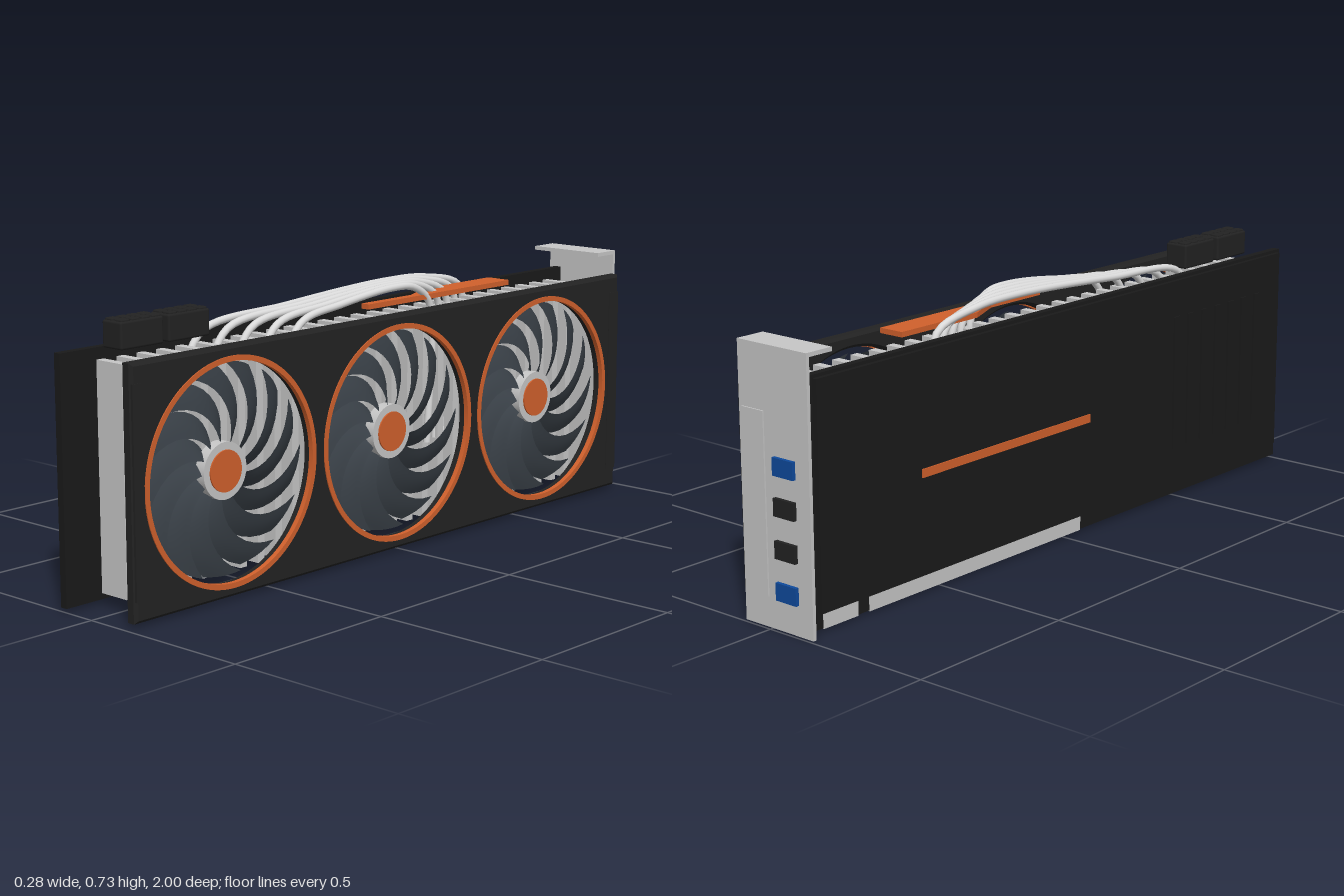
import * as THREE from 'three';
import { RoundedBoxGeometry } from 'three/addons/geometries/RoundedBoxGeometry.js';
import { mergeGeometries, toCreasedNormals } from 'three/addons/utils/BufferGeometryUtils.js';

const mat = (name, color, side = THREE.FrontSide) => {
  const m = new THREE.MeshStandardMaterial({ color, side });
  m.name = name;
  return m;
};

export function createModel() {
  const root = new THREE.Group();
  root.name = 'graphicsCard';
  const black = mat('shroud black', 0x222222);
  const board = mat('board black', 0x1a1a1a);
  const orange = mat('accent orange', 0xd0602c);
  const silver = mat('fin silver', 0xc6c6c6);
  const pipeGrey = mat('pipe silver', 0xdadada);
  const blade = mat('blade slate', 0x394047, THREE.DoubleSide);
  const blue = mat('port blue', 0x0f4a9c);

  const add = (name, geo, material, parent = root) => {
    const m = new THREE.Mesh(geo, material);
    m.name = name;
    parent.add(m);
    return m;
  };
  // box given by its limits on each axis
  const boxGeo = (x0, x1, y0, y1, z0, z1) =>
    new THREE.BoxGeometry(x1 - x0, y1 - y0, z1 - z0)
      .translate((x0 + x1) / 2, (y0 + y1) / 2, (z0 + z1) / 2);
  const box = (name, material, ...b) => add(name, boxGeo(...b), material);

  const FAN_Y = 0.329;
  const FAN_Z = [0.643, 0.021, -0.6];

  // Shroud: chamfered panel with three round openings, facing +x
  const c = 0.008;
  const panel = new THREE.Shape([
    [-0.975 + c, 0.01 + c], [0.957 - c, 0.01 + c], [0.957 - c, 0.65 - c], [-0.975 + c, 0.65 - c],
  ].map(p => new THREE.Vector2(...p)));
  for (const z of FAN_Z) {
    const hole = new THREE.Path();
    hole.absarc(-z, FAN_Y, 0.285 + c, 0, Math.PI * 2, true);
    panel.holes.push(hole);
  }
  const shroudGeo = new THREE.ExtrudeGeometry(panel, {
    depth: 0.037 - 2 * c, bevelEnabled: true, bevelSize: c, bevelThickness: c,
    bevelSegments: 1, curveSegments: 64,
  }).rotateY(Math.PI / 2).translate(0.098 + c, 0, 0);
  add('shroud', toCreasedNormals(shroudGeo, 0.5), black);
  for (const [a, b] of [[0.94, 0.972], [-0.953, -0.91]])
    box('shroudEndTrim', black, 0.13, 0.137, 0.065, 0.6, a, b);

  // Fan: built around local +z, then turned to face +x
  const bladeGeo = () => {
    const g = new THREE.PlaneGeometry(1, 1, 5, 10);
    const p = g.attributes.position;
    for (let i = 0; i < p.count; i++) {
      const u = p.getX(i) + 0.5, v = p.getY(i) + 0.5;
      const r = 0.06 + 0.215 * v;
      const width = 0.5 - 0.1 * v;
      const a = (u - 0.5) * width + 0.85 * Math.pow(v, 1.4);
      const back = 0.06 + 0.015 * v;
      p.setXYZ(i, r * Math.cos(a), r * Math.sin(a),
        back + (0.1 - back) * u + 0.004 * Math.sin(Math.PI * u));
    }
    g.computeVertexNormals();
    return g;
  };
  const BLADES = 13;
  const bladesGeo = mergeGeometries(Array.from({ length: BLADES },
    (_, i) => bladeGeo().rotateZ(i * Math.PI * 2 / BLADES)));
  const disc = (r, z0, z1) => new THREE.CylinderGeometry(r, r, z1 - z0, 40)
    .rotateX(Math.PI / 2).translate(0, 0, (z0 + z1) / 2);
  const ringShape = new THREE.Shape();
  ringShape.absarc(0, 0, 0.296, 0, Math.PI * 2, false);
  const ringHole = new THREE.Path();
  ringHole.absarc(0, 0, 0.282, 0, Math.PI * 2, true);
  ringShape.holes.push(ringHole);
  const ringGeo = toCreasedNormals(new THREE.ExtrudeGeometry(ringShape,
    { depth: 0.014, bevelEnabled: false, curveSegments: 64 }).translate(0, 0, 0.124), 0.5);

  for (const z of FAN_Z) {
    const fan = new THREE.Group();
    fan.name = 'fan';
    fan.position.set(0, FAN_Y, z);
    fan.rotation.y = Math.PI / 2;
    root.add(fan);
    add('fanBlades', bladesGeo, blade, fan);
    add('fanHub', disc(0.074, 0.075, 0.106), silver, fan);
    add('fanCap', disc(0.054, 0.1, 0.11), orange, fan);
    add('fanRing', ringGeo, orange, fan);
  }

  // Heat sink: a row of separate fins
  const fins = [];
  for (let i = 0; i < 28; i++) {
    const z = -0.862 + i * 0.065;
    fins.push(boxGeo(-0.068, 0.024, 0.035, 0.625, z - 0.012, z + 0.012));
  }
  add('heatSinkFins', mergeGeometries(fins), silver);

  // Heat pipes: five staggered arches with a leg reaching down between the fins
  for (let i = 0; i < 5; i++) {
    const x = -0.067 + i * 0.025;
    const zf = 0.58 - i * 0.065, zb = -0.48 + i * 0.063;
    const path = new THREE.CatmullRomCurve3([
      [0.58, zf + 0.03], [0.652, zf - 0.03], [0.68, zf * 0.55 + zb * 0.15], [0.701, zb * 0.35 + 0.02],
      [0.694, zb * 0.65], [0.655, zb + 0.02], [0.58, zb], [0.25, zb + 0.02],
    ].map(([y, z]) => new THREE.Vector3(x, y, z)));
    add('heatPipe', new THREE.TubeGeometry(path, 60, 0.01, 12), pipeGrey);
    for (const [y, z, turn] of [[0.58, zf + 0.03, Math.PI / 2], [0.25, zb + 0.02, Math.PI / 2]])
      add('heatPipeEnd', new THREE.CircleGeometry(0.01, 12).rotateX(turn).translate(x, y, z), pipeGrey);
  }

  // Orange top plate, wide at the back and narrow toward the front
  const plate = new THREE.Shape([
    [-0.035, 0.555], [0.04, 0.555], [0.04, -0.04], [0.014, -0.04], [0.014, 0.16], [-0.035, 0.27],
  ].map(p => new THREE.Vector2(...p)));
  add('topAccentPlate', new THREE.ExtrudeGeometry(plate, { depth: 0.014, bevelEnabled: false })
    .rotateX(-Math.PI / 2).translate(0, 0.655, 0), orange);

  // Circuit board with edge contacts, and the back plate
  box('circuitBoard', board, -0.113, -0.092, 0.01, 0.65, -0.97, 1.0);
  box('edgeContacts', silver, -0.115, -0.09, 0.008, 0.052, -0.77, 0.06);
  box('edgeContactsShort', silver, -0.115, -0.09, 0.008, 0.052, -0.93, -0.81);
  box('backPlate', board, -0.13, -0.118, 0.055, 0.643, -0.95, 0.978);
  box('backPlateStripe', orange, -0.133, -0.129, 0.315, 0.338, -0.59, 0.08);
  for (let i = 0; i < 7; i++) {
    const z = 0.47 + i * 0.065;
    box('backPlateRib', board, -0.134, -0.129, 0.155, 0.54, z - 0.013, z + 0.013);
  }

  // Power sockets: each a body topped by two rows of four pins
  for (const z of [0.65, 0.807]) {
    add('powerSocket', new RoundedBoxGeometry(0.07, 0.07, 0.14, 2, 0.006)
      .translate(-0.042, 0.685, z), black);
    for (let i = 0; i < 4; i++)
      for (const dx of [-0.017, 0.017])
        add('powerSocketPin', new RoundedBoxGeometry(0.028, 0.02, 0.028, 1, 0.004)
          .translate(-0.042 + dx, 0.715, z + (i - 1.5) * 0.034), black);
  }

  // Mounting bracket: plate, folded top flange, raised panel and ports
  box('bracketPlate', silver, -0.14, 0.095, 0, 0.715, -0.99, -0.98);
  box('bracketFlange', silver, -0.14, 0.095, 0.704, 0.715, -0.98, -0.905);
  box('bracketPanel', silver, 0.01, 0.083, 0.08, 0.55, -0.994, -0.989);
  [0.42, 0.318, 0.21, 0.103].forEach((y, i) => {
    const outer = i === 0 || i === 3;
    box(outer ? 'bluePort' : 'blackPort', outer ? blue : black,
      -0.093, -0.023, y - 0.023, y + 0.023, -1.0, -0.989);
  });

  return root;
}
